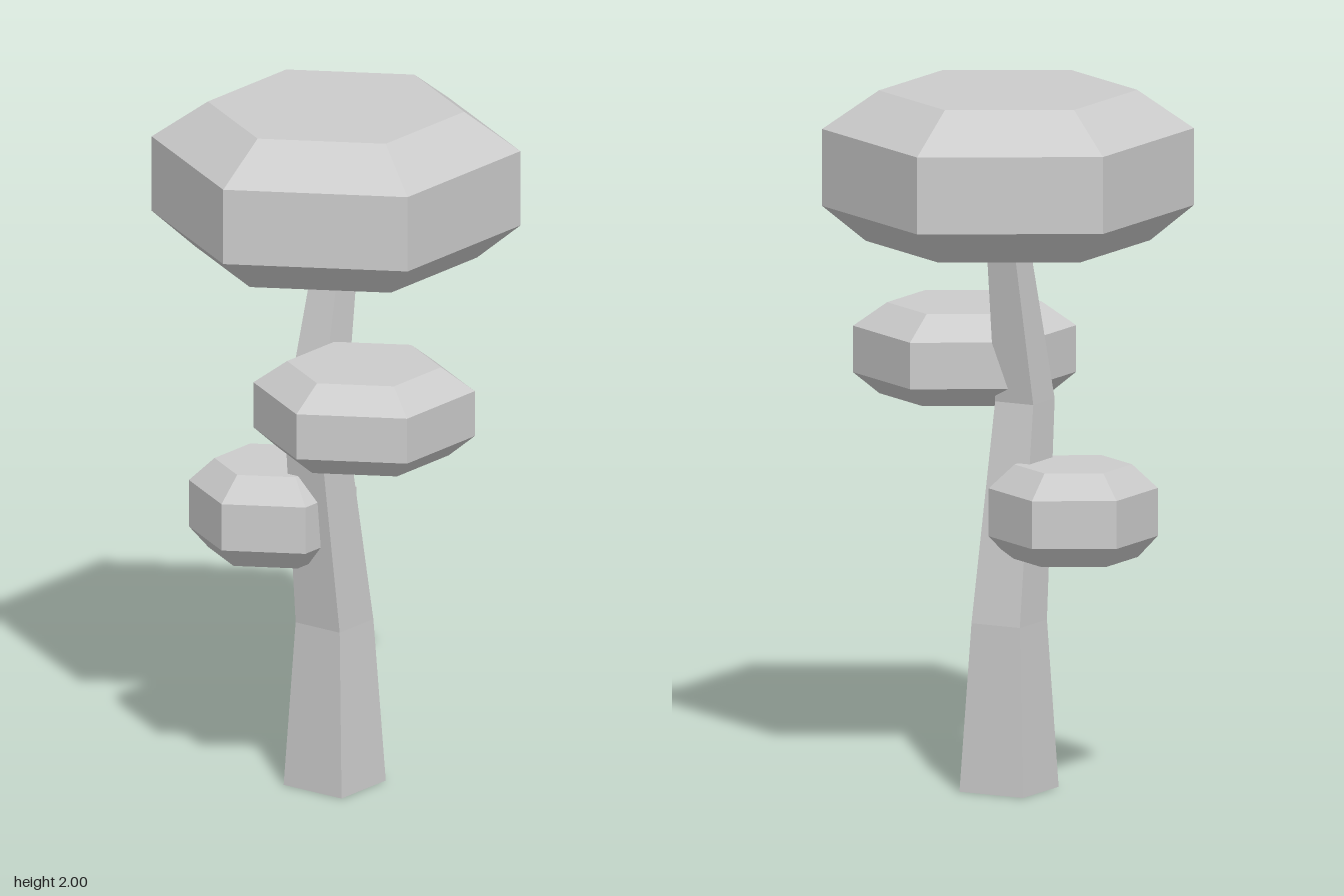
import * as THREE from 'three';

const material = new THREE.MeshStandardMaterial({ color: 0xcccccc, flatShading: true });

// Hexagonal clump with chamfered top and bottom; levels run bottom to top
function foliage(name, x, z, radius, levels) {
  const [y0, y1, y2, y3] = levels;
  const profile = [
    [0, y0], [radius * 0.765, y0], [radius, y1], [radius, y2], [radius * 0.695, y3], [0, y3],
  ].map(([r, y]) => new THREE.Vector2(r, y));
  const mesh = new THREE.Mesh(new THREE.LatheGeometry(profile, 6), material);
  mesh.name = name;
  mesh.position.set(x, 0, z);
  return mesh;
}

// Square tapering trunk that bends at each section: [y, centre x, centre z, width]
function trunk() {
  const sections = [
    [0, -0.037, 0.006, 0.205],
    [0.48, -0.037, 0.007, 0.156],
    [1.1, -0.04, 0.092, 0.123],
    [1.64, -0.039, -0.02, 0.083],
  ];
  const last = sections.length - 1;
  const geometry = new THREE.BoxGeometry(1, last, 1, 1, last, 1);
  const p = geometry.attributes.position;
  for (let i = 0; i < p.count; i++) {
    const [y, x, z, w] = sections[Math.round(p.getY(i) + last / 2)];
    p.setXYZ(i, x + p.getX(i) * w, y, z + p.getZ(i) * w);
  }
  geometry.computeVertexNormals();
  const mesh = new THREE.Mesh(geometry, material);
  mesh.name = 'trunk';
  return mesh;
}

export function createModel() {
  const tree = new THREE.Group();
  tree.name = 'tree';
  tree.add(
    trunk(),
    foliage('crown', -0.037, 0, 0.523, [1.57, 1.67, 1.89, 2]),
    foliage('middleFoliage', 0.215, 0.2, 0.314, [1.08, 1.14, 1.273, 1.34]),
    foliage('lowerFoliage', -0.211, 0.065, 0.238, [0.67, 0.73, 0.867, 0.935]),
  );
  return tree;
}
